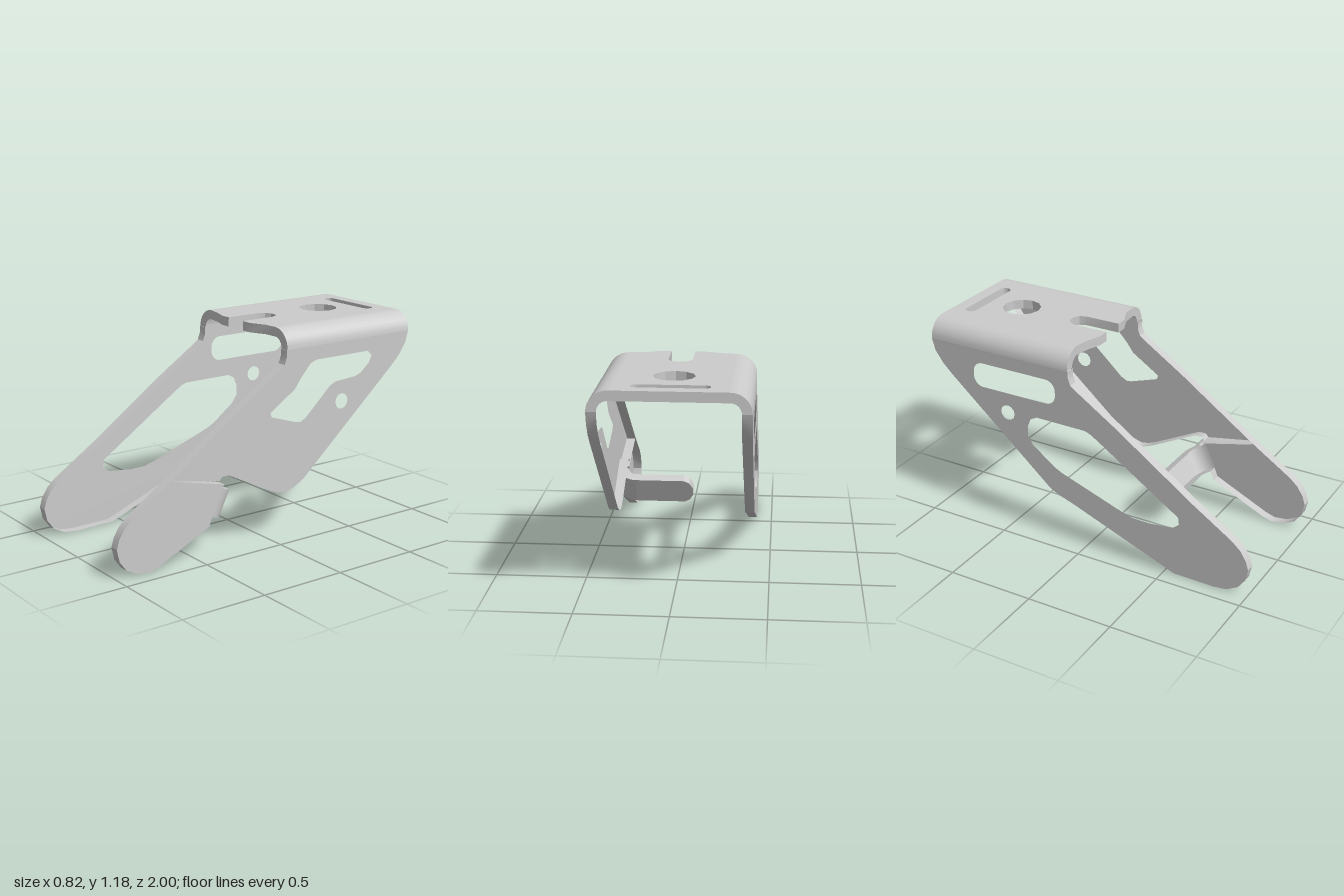
import * as THREE from 'three';
import { toCreasedNormals } from 'three/addons/utils/BufferGeometryUtils.js';

// The bracket is an open shell: an outer skin with a rim turned inward.
const material = new THREE.MeshStandardMaterial({ color: 0xcccccc, side: THREE.DoubleSide });
const V = (x, y, z) => new THREE.Vector3(x, y, z);
const X = V(1, 0, 0), Y = V(0, 1, 0), Z = V(0, 0, 1);
const T = 0.053; // rim depth
const W = 0.41; // half width
const TOP = 1.18;
const R = 0.11; // outer bend radius

const toPoints = (pairs) => pairs.map(([a, b]) => new THREE.Vector2(a, b));
const circle = (x, y, r) => new THREE.Path().absarc(x, y, r, 0, Math.PI * 2);

// Rounded rectangle between two corners
function slot(x0, y0, x1, y1, r) {
  const s = new THREE.Path();
  s.absarc(x1 - r, y0 + r, r, -Math.PI / 2, 0);
  s.absarc(x1 - r, y1 - r, r, 0, Math.PI / 2);
  s.absarc(x0 + r, y1 - r, r, Math.PI / 2, Math.PI);
  s.absarc(x0 + r, y0 + r, r, Math.PI, Math.PI * 1.5);
  s.closePath();
  return s;
}

// Flat skin with holes
function skin(points, holes = []) {
  const shape = new THREE.Shape(points);
  shape.holes.push(...holes);
  return new THREE.ShapeGeometry(shape, 6);
}

// Strip that follows a line of points and is as wide as depth
function wall(points, depth) {
  const positions = [];
  for (let i = 1; i < points.length; i++) {
    const a = points[i - 1], b = points[i];
    positions.push(
      a.x, a.y, 0, b.x, b.y, 0, b.x, b.y, depth,
      a.x, a.y, 0, b.x, b.y, depth, a.x, a.y, depth,
    );
  }
  const geometry = new THREE.BufferGeometry();
  geometry.setAttribute('position', new THREE.Float32BufferAttribute(positions, 3));
  geometry.computeVertexNormals();
  return toCreasedNormals(geometry, 0.5);
}

// Quarter bend: curved skin with a rim at both ends
function bend(x, y, outer, start, length) {
  const arc = (r) => new THREE.Path()
    .absarc(x, y, r, start, start + Math.PI / 2).getPoints(4);
  const ring = [...arc(outer), ...arc(outer - T).reverse()];
  return [wall(arc(outer), length), skin(ring), skin(ring).translate(0, 0, length)];
}

// Group of geometries whose plane axes u and v are placed at origin
function part(name, geometries, u, v, origin) {
  const group = new THREE.Group();
  group.name = name;
  const matrix = new THREE.Matrix4()
    .makeBasis(u, v, u.clone().cross(v))
    .setPosition(origin);
  for (const geometry of geometries) {
    const mesh = new THREE.Mesh(geometry.applyMatrix4(matrix), material);
    mesh.name = name + 'Surface';
    group.add(mesh);
  }
  return group;
}

export function createModel() {
  const group = new THREE.Group();
  group.name = 'bentBracket';

  // Edges shared by both side plates, as (z, y)
  const frontEdge = toPoints([
    [-0.1, TOP - R], [-0.1, 1.03], [-0.085, 0.99], [-0.05, 0.965], [0.2, 0.8], [0.66, 0.477],
    [0.9, 0.32], [0.95, 0.275], [0.985, 0.22], [1, 0.17], [0.985, 0.1], [0.945, 0.045],
    [0.88, 0.01], [0.8, 0],
  ]);
  const rearEdge = toPoints([
    [-0.23, 0.315], [-0.87, 0.873], [-0.93, 0.93], [-0.98, 1.0], [-1, TOP - R],
  ]);
  const pinHole = circle(-0.5, 0.725, 0.045);

  // Left plate: slit, slanted window, and a gap in the rim where the tab joins
  const belowTab = [...frontEdge, ...toPoints([[0.74, 0.02], [0.42, 0.17], [0.4, 0.22]])];
  const aboveTab = [...toPoints([
    [0.33, 0.372], [0.32, 0.39], [0.65, 0.47], [0.35, 0.415], [0.335, 0.435], [0.29, 0.435],
    [0.0, 0.288], [-0.05, 0.268], [-0.1, 0.26], [-0.17, 0.282],
  ]), ...rearEdge];
  const slantedWindow = new THREE.Path(toPoints([
    [0.01, 0.735], [-0.16, 0.845], [-0.2, 0.9], [-0.27, 0.975], [-0.31, 0.99], [-0.69, 0.99],
    [-0.72, 0.96], [-0.7, 0.92], [-0.64, 0.87], [-0.6, 0.855], [-0.45, 0.845], [-0.41, 0.825],
    [-0.24, 0.67], [-0.2, 0.65], [-0.17, 0.655], [0, 0.71],
  ]));
  group.add(part('leftPlate', [
    skin([...belowTab, ...aboveTab], [slantedWindow, pinHole]),
    wall(belowTab, T), wall(aboveTab, T),
  ], Z, Y, V(W, 0, 0)));

  // Right plate: large window and a long slot
  const rightEdge = [
    ...frontEdge, ...toPoints([[0.56, 0.005], [-0.08, 0.255], [-0.17, 0.285]]), ...rearEdge,
  ];
  const largeWindow = new THREE.Path(toPoints([
    [0.03, 0.73], [0, 0.74], [-0.31, 0.742], [-0.35, 0.72], [-0.37, 0.67], [-0.37, 0.61],
    [-0.34, 0.565], [-0.2, 0.46], [-0.15, 0.435], [0.23, 0.3], [0.3, 0.28], [0.4, 0.277],
    [0.55, 0.295], [0.585, 0.325], [0.58, 0.367], [0.08, 0.7],
  ]));
  group.add(part('rightPlate', [
    skin(rightEdge, [largeWindow, pinHole, slot(-0.72, 0.845, -0.185, 0.99, 0.06)]),
    wall(rightEdge, -T),
  ], Z, Y, V(-W, 0, 0)));

  // Top plate, as (x, z), with a front notch and two collared holes
  const e = W - R;
  const back = toPoints([[-e, -1], [e, -1]]);
  const front = toPoints([
    [e, -0.105], [0.22, -0.1], [0.13, -0.06], [0.065, -0.06],
    [0.065, -0.27], [0.05, -0.305], [0.02, -0.325], [-0.02, -0.325], [-0.05, -0.305],
    [-0.067, -0.27], [-0.067, -0.06], [-0.13, -0.06], [-0.22, -0.09], [-e, -0.105],
  ]);
  const topHoles = [slot(-0.2, -0.925, 0.2, -0.86, 0.032), circle(0, -0.66, 0.11)];
  group.add(part('topPlate', [
    skin([...back, ...front], topHoles),
    wall(back, T), wall(front, T),
    ...topHoles.map((hole) => wall(hole.getPoints(6), T)),
  ], X, Z, V(0, TOP, 0)));

  // Rounded bends joining the top to the sides
  for (const [name, side, start] of [['leftBend', 1, 0], ['rightBend', -1, Math.PI / 2]]) {
    group.add(part(name, bend(side * e, TOP - R, R, start, 0.895), X, Y, V(0, 0, -1)));
  }

  // Inward tab: tilted tongue with a rounded tip, and its bend
  const along = V(0, 0.906, -0.423);
  const across = X.clone().cross(along);
  const base = V(0, 0.18, 0.31);
  const L = 0.165;
  const tongue = toPoints([
    [0.31, L], [0.02, L], [-0.01, L - 0.018], [-0.03, L - 0.055],
    [-0.03, 0.055], [-0.01, 0.018], [0.02, 0], [0.31, 0],
  ]);
  group.add(part('tabTongue', [skin(tongue), wall(tongue, T)], X, along, base));
  group.add(part('tabBend', bend(0.31, 0.1, 0.1, -Math.PI / 2, L), X, across,
    base.clone().addScaledVector(along, L)));

  return group;
}
